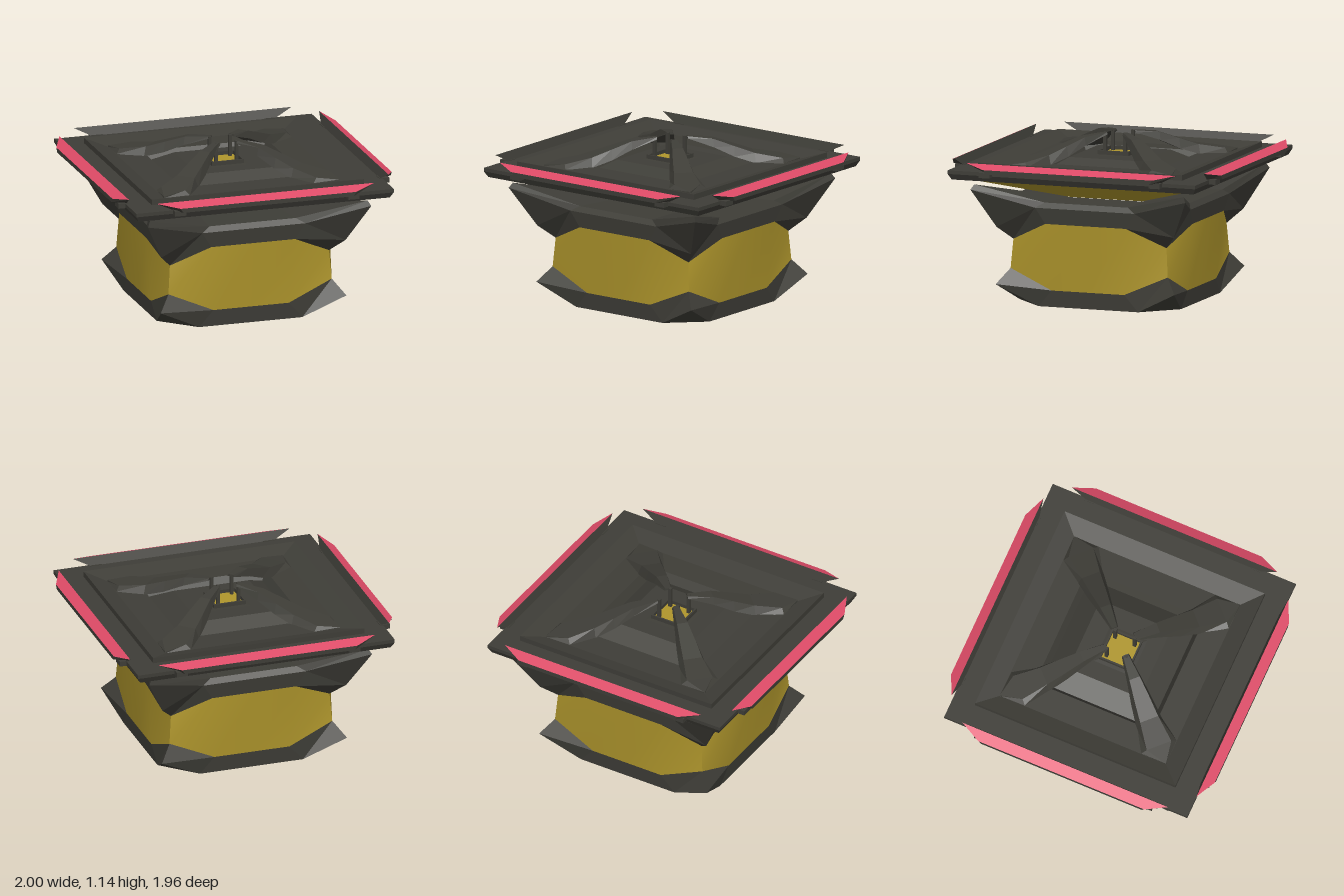
import * as THREE from 'three';
import { toCreasedNormals } from 'three/addons/utils/BufferGeometryUtils.js';

const DEPTH = 0.98; // the plan is slightly shallower than wide

const mat = (name, color) => {
  const m = new THREE.MeshStandardMaterial({ color });
  m.name = name;
  return m;
};

// Builds a mesh from the faces of one eighth, mirrored and turned to all four sides
function eightfold(name, material, faces, crease = 0) {
  const pos = [];
  for (const face of faces) {
    for (const mirrored of [false, true]) {
      const pts = face.map(([x, y, z]) => [mirrored ? -x : x, y, z]);
      if (mirrored) pts.reverse();
      for (let turn = 0; turn < 4; turn++) {
        const p = pts.map(([x, y, z]) => [[x, y, z], [z, y, -x], [-x, y, -z], [-z, y, x]][turn])
          .map(([x, y, z]) => [x, y, z * DEPTH]);
        for (let i = 1; i < p.length - 1; i++) pos.push(...p[0], ...p[i], ...p[i + 1]);
      }
    }
  }
  const g = new THREE.BufferGeometry();
  g.setAttribute('position', new THREE.Float32BufferAttribute(pos, 3));
  g.computeVertexNormals();
  const mesh = new THREE.Mesh(crease ? toCreasedNormals(g, crease) : g, material);
  mesh.name = name;
  return mesh;
}

// Square rings: profile of [half width, height], listed upward along the outside
const squareLoft = (profile) => profile.slice(1).map(([h1, y1], i) => {
  const [h0, y0] = profile[i];
  return [[0, y0, h0], [h0, y0, h0], [h1, y1, h1], [0, y1, h1]];
});

// Same point moved to the middle of its side
const mid = ([, y, z]) => [0, y, z];
const band = (lo, hi) => [mid(lo), lo, hi, mid(hi)];

export function createModel() {
  const grey = mat('dark grey', 0x3e3d37);
  const gold = mat('ochre', 0xaf962c);
  const pink = mat('pink', 0xdc4a66);
  const model = new THREE.Group();
  model.name = 'tower';

  // Faceted foot with pointed corners
  const footEdge = [0.37, 0, 0.60], footTip = [0.665, 0.145, 0.665];
  const bodyLow = [0.27, 0.115, 0.61], bodyLowCorner = [0.585, 0.25, 0.585];
  model.add(eightfold('foot', grey, [
    band(footEdge, bodyLow),
    [footEdge, footTip, bodyLowCorner, bodyLow],
    [footEdge, [0.485, 0, 0.485], footTip],
    [[0, 0, 0], [0.485, 0, 0.485], footEdge, mid(footEdge)],
  ]));

  // Body panels, slightly bowed and smooth, with sharp corners
  const bodyTop = [0.30, 0.58, 0.655], bodyTopCorner = [0.57, 0.45, 0.57];
  model.add(eightfold('body', gold, [
    band(bodyLow, bodyTop),
    [bodyLow, bodyLowCorner, bodyTopCorner, bodyTop],
  ], 0.65));

  // Collar with flared corner horns
  const tip = [0.66, 0.54, 0.66], ridge = [0.37, 0.69, 0.67], horn = [0.80, 0.81, 0.80];
  const lip = [0.31, 0.725, 0.64], hornTop = [0.78, 0.845, 0.78], inner = [0.28, 0.71, 0.28];
  model.add(eightfold('collar', grey, [
    band(bodyTop, ridge),
    [bodyTop, bodyTopCorner, tip, ridge],
    [tip, horn, ridge],
    [ridge, horn, hornTop, lip],
    band(ridge, lip),
    [lip, hornTop, inner],
    [mid(lip), lip, inner, mid(inner)],
  ]));

  // Shallow funnel under the deck
  model.add(eightfold('funnel', gold, squareLoft([[0.27, 0.71], [0.82, 0.887]])));

  // Deck with a sunken tray and a groove around the raised middle
  model.add(eightfold('deck', grey, squareLoft([
    [0.80, 0.885], [0.90, 0.89], [0.922, 0.93], [0.922, 0.955], [0.76, 0.955], [0.76, 0.993],
    [0.63, 0.955], [0.445, 0.96], [0.41, 0.90], [0.27, 0.985], [0.12, 0.985],
  ])));

  // Central well, a little off centre
  const well = new THREE.Group();
  well.name = 'well';
  well.position.set(-0.01, 0, 0.01);
  well.add(eightfold('wellRim', grey, squareLoft([
    [0.14, 0.985], [0.115, 0.987], [0.115, 1.015], [0.103, 1.015], [0.103, 0.975],
  ])));
  well.add(eightfold('wellFloor', gold, [[[0, 0.99, 0], [0, 0.99, 0.103], [0.103, 0.99, 0.103]]]));
  const postGeo = new THREE.BoxGeometry(0.022, 0.165, 0.022);
  for (const x of [-1, 1]) for (const z of [-1, 1]) {
    const post = new THREE.Mesh(postGeo, grey);
    post.name = 'post';
    post.position.set(x * 0.073, 1.057, z * 0.073);
    well.add(post);
  }
  model.add(well);

  // Edge rails with a coloured sloping top
  const railOut = [0.63, 0.985, 1], railTop = [0.78, 1.015, 0.93];
  const railLow = [0.61, 0.955, 1], railIn = [0.65, 0.95, 0.905];
  model.add(eightfold('railStripe', pink, [band(railOut, railTop)]));
  model.add(eightfold('rail', grey, [
    band(railLow, railOut),
    [railLow, railIn, railTop, railOut],
    band(railIn, railLow),
    band(railTop, railIn),
  ]));

  // Rail brackets
  const bracketGeo = new THREE.BoxGeometry(0.08, 0.035, 0.07);
  for (let side = 0; side < 4; side++) {
    const brackets = new THREE.Group();
    brackets.name = 'railBrackets';
    for (const s of [-1, 1]) {
      const b = new THREE.Mesh(bracketGeo, grey);
      b.name = 'bracket';
      b.position.set(s * 0.62, 0.941, side % 2 ? 0.935 : 0.935 * DEPTH);
      brackets.add(b);
    }
    brackets.rotation.y = side * Math.PI / 2;
    model.add(brackets);
  }

  // Diagonal arms: [distance, top, bottom, half width] from corner to centre
  const stations = [
    [0.628, 0.965, 0.955, 0.004], [0.535, 0.985, 0.957, 0.13], [0.40, 1.02, 0.955, 0.095],
    [0.30, 1.07, 1.0, 0.077], [0.20, 1.12, 1.065, 0.054], [0.075, 1.14, 1.125, 0.027],
  ].map(([d, top, bottom, w]) => {
    const s = w * Math.SQRT1_2;
    return [[d, top, d], [d - s * 0.7, top, d + s * 0.7], [d - s, bottom, d + s], [d, bottom, d]];
  });
  const armFaces = [];
  for (let i = 0; i < stations.length - 1; i++) {
    for (let k = 0; k < 3; k++) {
      const a = stations[i], b = stations[i + 1];
      armFaces.push([a[k], b[k], b[k + 1], a[k + 1]]);
    }
  }
  const [c, t, b, e] = stations[stations.length - 1];
  armFaces.push([c, e, b, t]);
  model.add(eightfold('arms', grey, armFaces));

  return model;
}
